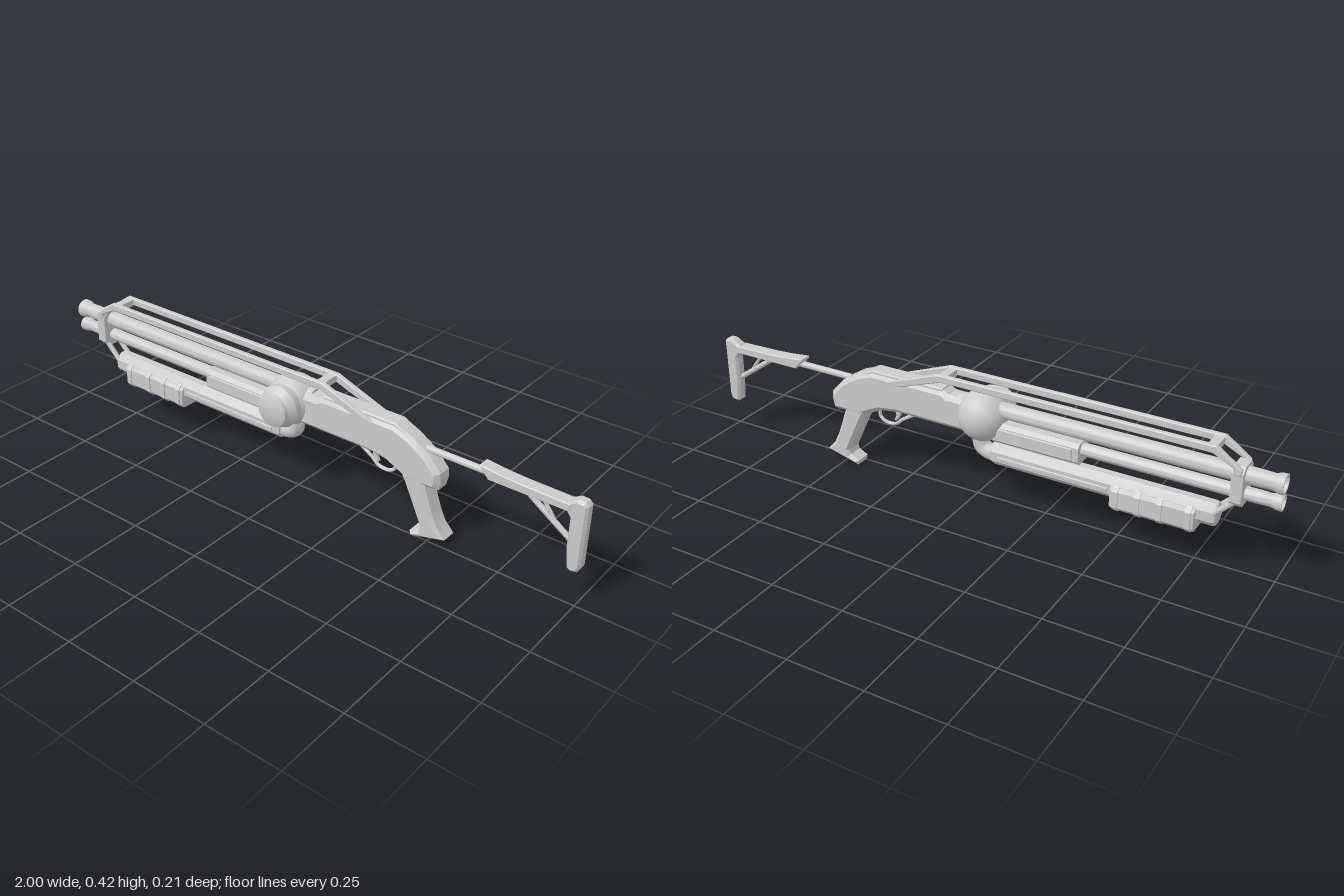
import * as THREE from 'three';
import { toCreasedNormals } from 'three/addons/utils/BufferGeometryUtils.js';

const material = new THREE.MeshStandardMaterial({ color: 0xcccccc, side: THREE.DoubleSide });

export function createModel() {
  const model = new THREE.Group();
  const body = new THREE.Group();
  body.name = 'blaster';
  body.position.z = -0.02; // long axis sits slightly behind the centre
  model.add(body);

  const add = (name, geometry, crease = 0.6) => {
    const mesh = new THREE.Mesh(toCreasedNormals(geometry, crease), material);
    mesh.name = name;
    body.add(mesh);
    return mesh;
  };
  const vec = ([x, y, z = 0]) => new THREE.Vector3(x, y, z);

  // Side outline extruded symmetrically across z, with chamfered edges
  const slab = (name, points, halfWidth, bevel = 0.01, z = 0) => {
    const shape = new THREE.Shape(points.map(([x, y]) => new THREE.Vector2(x, y)));
    const geometry = new THREE.ExtrudeGeometry(shape, {
      depth: 2 * (halfWidth - bevel), bevelEnabled: bevel > 0, bevelThickness: bevel,
      bevelSize: bevel, bevelOffset: -bevel, bevelSegments: 1,
    });
    geometry.translate(0, 0, z - halfWidth + bevel);
    return add(name, geometry, 0.4);
  };
  const block = (name, x0, x1, y0, y1, halfWidth, bevel, z) =>
    slab(name, [[x0, y0], [x1, y0], [x1, y1], [x0, y1]], halfWidth, bevel, z);

  // Cross-section in (y, z) extruded along x
  const prism = (name, section, x0, x1, bevel = 0) => {
    const shape = new THREE.Shape(section.map(([y, z]) => new THREE.Vector2(-z, y)));
    const geometry = new THREE.ExtrudeGeometry(shape, {
      depth: x1 - x0 - 2 * bevel, bevelEnabled: bevel > 0, bevelThickness: bevel,
      bevelSize: bevel, bevelOffset: -bevel, bevelSegments: 2,
    });
    geometry.rotateY(Math.PI / 2).translate(x0 + bevel, 0, 0);
    return add(name, geometry, 0.4);
  };
  const octagon = (y0, y1, w, c) => [
    [y0, -w + c], [y0 + c, -w], [y1 - c, -w], [y1, -w + c],
    [y1, w - c], [y1 - c, w], [y0 + c, w], [y0, w - c]];

  // Lathe along x from [x, radius] pairs
  const turned = (name, y, profile) => {
    const points = profile.map(([x, r]) => new THREE.Vector2(r, x));
    const geometry = new THREE.LatheGeometry(points, 24);
    geometry.rotateZ(-Math.PI / 2).translate(0, y, 0);
    return add(name, geometry);
  };
  // Straight rods joined along a path
  const rod = (name, points, radius, sides = 8) => {
    const path = new THREE.CurvePath();
    for (let i = 1; i < points.length; i++) path.add(new THREE.LineCurve3(vec(points[i - 1]), vec(points[i])));
    return add(name, new THREE.TubeGeometry(path, 24 * (points.length - 1), radius, sides), 0.9);
  };

  // Two stacked barrels with hollow, flared muzzles
  for (const [name, y, r] of [['upperBarrel', 0.34, 0.026], ['lowerBarrel', 0.28, 0.021]]) {
    turned(name, y, [[-0.9, 0], [-0.9, r * 0.7], [-1, r * 0.95], [-1, r * 1.2], [-0.985, r * 1.18],
      [-0.965, r * 0.95], [-0.93, r], [0.05, r], [0.05, 0]]);
  }
  prism('barrelBand', octagon(0.245, 0.375, 0.042, 0.018), -0.89, -0.855);

  // Sliding fore-end with side ribs
  prism('foreEnd', octagon(0.237, 0.307, 0.036, 0.012), -0.38, -0.08);
  for (const s of [-1, 1]) block('foreEndRib', -0.36, -0.1, 0.25, 0.292, 0.004, 0.002, s * 0.037);

  // Twin top rails, mitred at each bend, with cross pieces
  const rail = [[-0.885, 0.35], [-0.86, 0.35], [-0.858, 0.372], [-0.795, 0.403], [0.1, 0.403], [0.25, 0.35],
    [0.3, 0.355], [0.11, 0.427], [-0.805, 0.427], [-0.885, 0.37]];
  for (const s of [-1, 1]) slab('topRail', rail, 0.009, 0.003, s * 0.037);
  for (const x of [-0.805, 0.08]) block('railCrossPiece', x, x + 0.03, 0.402, 0.424, 0.03, 0.002);

  // Under-slung tube, its front strut and rear elbow
  prism('lowerTube', octagon(0.15, 0.226, 0.034, 0.022), -0.82, -0.07, 0.012);
  for (const s of [-1, 1]) block('lowerTubeRail', -0.48, -0.1, 0.178, 0.192, 0.004, 0.002, s * 0.034);
  for (const s of [-1, 1]) rod('frontStrut', [[-0.87, 0.26, s * 0.025], [-0.85, 0.24, s * 0.025],
    [-0.8, 0.19, s * 0.025]], 0.009);
  const bend = new THREE.CatmullRomCurve3([[-0.1, 0.182], [-0.055, 0.184], [-0.028, 0.2], [-0.022, 0.25]].map(vec));
  add('rearElbow', new THREE.TubeGeometry(bend, 20, 0.027, 16), 1);

  // Battery pack with raised bands
  prism('batteryPack', octagon(0.122, 0.208, 0.045, 0.016), -0.76, -0.49, 0.006);
  for (const x of [-0.75, -0.66, -0.59, -0.52]) {
    prism('batteryBand', octagon(0.12, 0.21, 0.049, 0.018), x, x + 0.018);
  }

  // Round chamber with a stepped lens cap on the front
  const chamber = new THREE.SphereGeometry(0.084, 32, 20);
  add('roundChamber', chamber.translate(-0.035, 0.308, 0), 1);
  const cap = [[0.045, 0.068], [0.074, 0.071], [0.079, 0.068], [0.092, 0.053], [0.096, 0.05], [0.1, 0.056],
    [0.112, 0.054], [0.12, 0.036], [0.122, 0]].map(([z, r]) => new THREE.Vector2(r, z));
  add('lensCap', new THREE.LatheGeometry(cap, 32).rotateX(Math.PI / 2).translate(-0.035, 0.308, 0), 0.4);

  // Receiver sweeping down to a tail over the grip
  slab('receiver', [[-0.02, 0.245], [0.28, 0.245], [0.34, 0.236], [0.42, 0.198], [0.53, 0.2], [0.537, 0.23],
    [0.535, 0.26], [0.49, 0.31], [0.43, 0.348], [0.37, 0.37], [0.1, 0.37], [0.08, 0.358], [-0.02, 0.358]], 0.038, 0.016);
  slab('receiverTopPlate', [[0.1, 0.362], [0.43, 0.342], [0.37, 0.374], [0.1, 0.374]], 0.028, 0.004);

  // Raked grip with a flared foot
  slab('grip', [[0.4, 0.22], [0.418, 0.18], [0.477, 0.052], [0.472, 0.036], [0.44, 0.02], [0.444, 0.003],
    [0.565, 0.036], [0.535, 0.07], [0.516, 0.11], [0.478, 0.22]], 0.035, 0.01);

  // Trigger and its guard
  const guard = new THREE.CatmullRomCurve3([[0.22, 0.242], [0.275, 0.208], [0.3, 0.187], [0.345, 0.187],
    [0.362, 0.205], [0.358, 0.235]].map(vec));
  add('triggerGuard', new THREE.TubeGeometry(guard, 24, 0.006, 8), 1);
  slab('trigger', [[0.275, 0.245], [0.282, 0.218], [0.297, 0.2], [0.302, 0.204], [0.294, 0.222], [0.3, 0.245]], 0.006, 0.001);

  // Telescoping stock
  turned('stockRod', 0.315, [[0.47, 0], [0.47, 0.011], [0.95, 0.011], [0.95, 0]]);
  slab('stockSleeve', [[0.69, 0.302], [0.95, 0.302], [0.95, 0.328], [0.8, 0.331], [0.74, 0.334], [0.66, 0.342],
    [0.66, 0.335]], 0.022, 0.003);
  rod('stockStrut', [[0.8, 0.307], [0.955, 0.2]], 0.009);
  rod('stockStrutBrace', [[0.85, 0.31], [0.905, 0.235]], 0.006);
  slab('buttPlate', [[0.95, 0.185], [0.958, 0.115], [0.97, 0.108], [0.99, 0.112], [1, 0.13], [1, 0.335], [0.99, 0.346],
    [0.967, 0.348], [0.935, 0.33], [0.935, 0.3], [0.95, 0.28]], 0.02, 0.008);

  return model;
}
